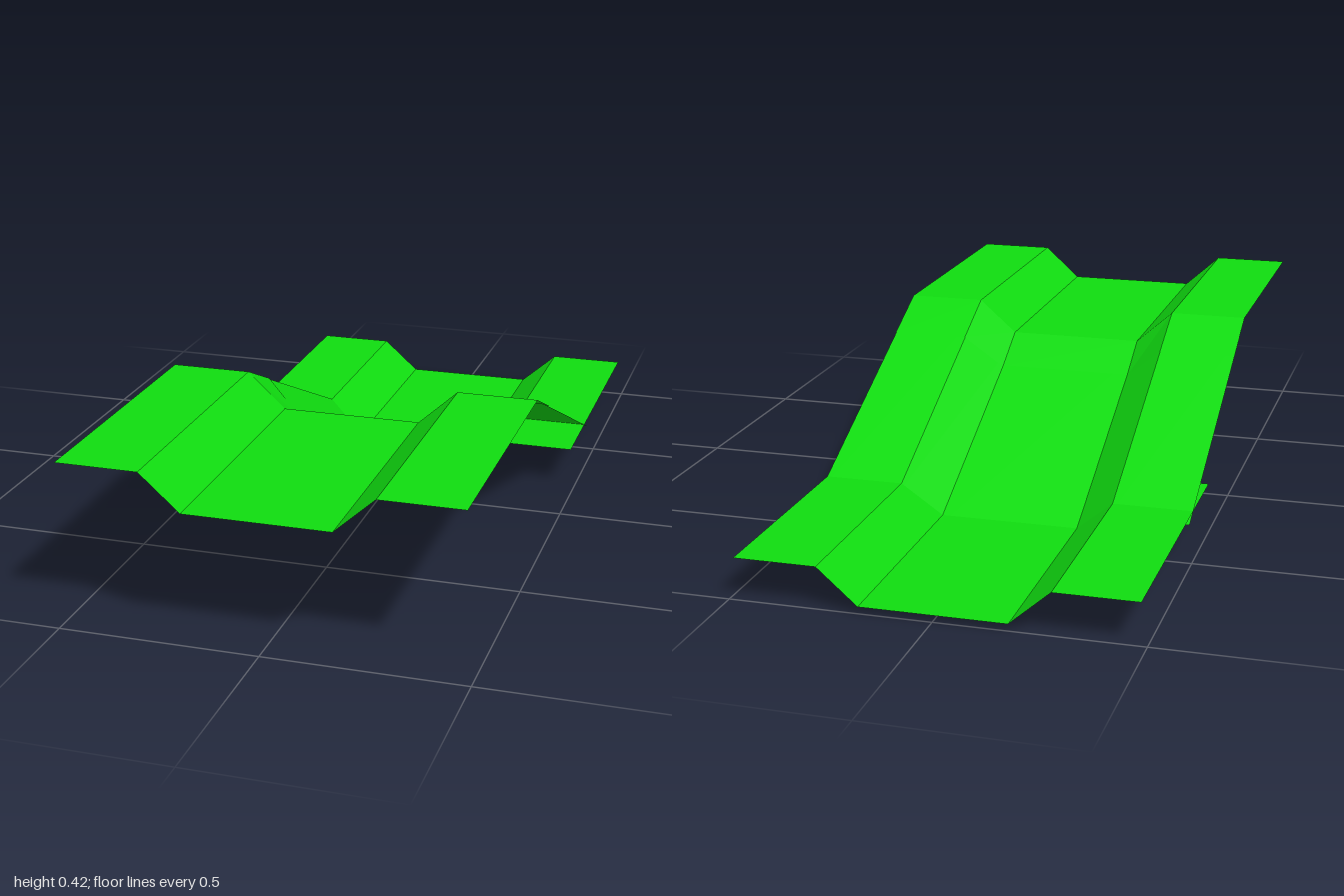
import * as THREE from 'three';

// Trough cross-section: x across the sheet, t = 1 on the raised edges and 0 in the channel
const PROFILE = [[-0.485, 1], [-0.28, 1], [-0.18, 0], [0.18, 0], [0.28, 1], [0.485, 1]];

const material = new THREE.MeshStandardMaterial({
  color: 0x10dc10, flatShading: true, side: THREE.DoubleSide,
});

// Folded sheet through stations [high z, high y, low z, low y], listed from back to front
function sheet(name, stations) {
  const positions = [];
  const index = [];
  const n = PROFILE.length;
  stations.forEach(([hz, hy, lz, ly], s) => {
    PROFILE.forEach(([x, t], i) => {
      positions.push(x, ly + (hy - ly) * t, lz + (hz - lz) * t);
      if (s > 0 && i > 0) {
        const a = (s - 1) * n + i - 1, b = a + 1, c = a + n, d = c + 1;
        index.push(a, c, b, b, c, d);
      }
    });
  });
  const geometry = new THREE.BufferGeometry();
  geometry.setAttribute('position', new THREE.Float32BufferAttribute(positions, 3));
  geometry.setIndex(index);
  geometry.computeVertexNormals();
  const mesh = new THREE.Mesh(geometry, material);
  mesh.name = name;
  return mesh;
}

export function createModel() {
  const group = new THREE.Group();
  group.name = 'foldedTroughSheets';

  // Flat lower sheet, running under the foot of the slope
  group.add(sheet('lowerSheet', [
    [-1, 0.107, -1, 0.019],
    [-0.21, 0.107, -0.21, 0.019],
  ]));

  // Sloping sheet with ends square to the slope
  group.add(sheet('slopingSheet', [
    [-0.461, 0.087, -0.424, 0.002],
    [0.208, 0.39, 0.245, 0.305],
  ]));

  // Upper sheet with a short flap folded down over the slope
  group.add(sheet('upperSheet', [
    [0.125, 0.355, 0.162, 0.267],
    [0.28, 0.425, 0.285, 0.335],
    [1, 0.425, 1, 0.335],
  ]));

  return group;
}
